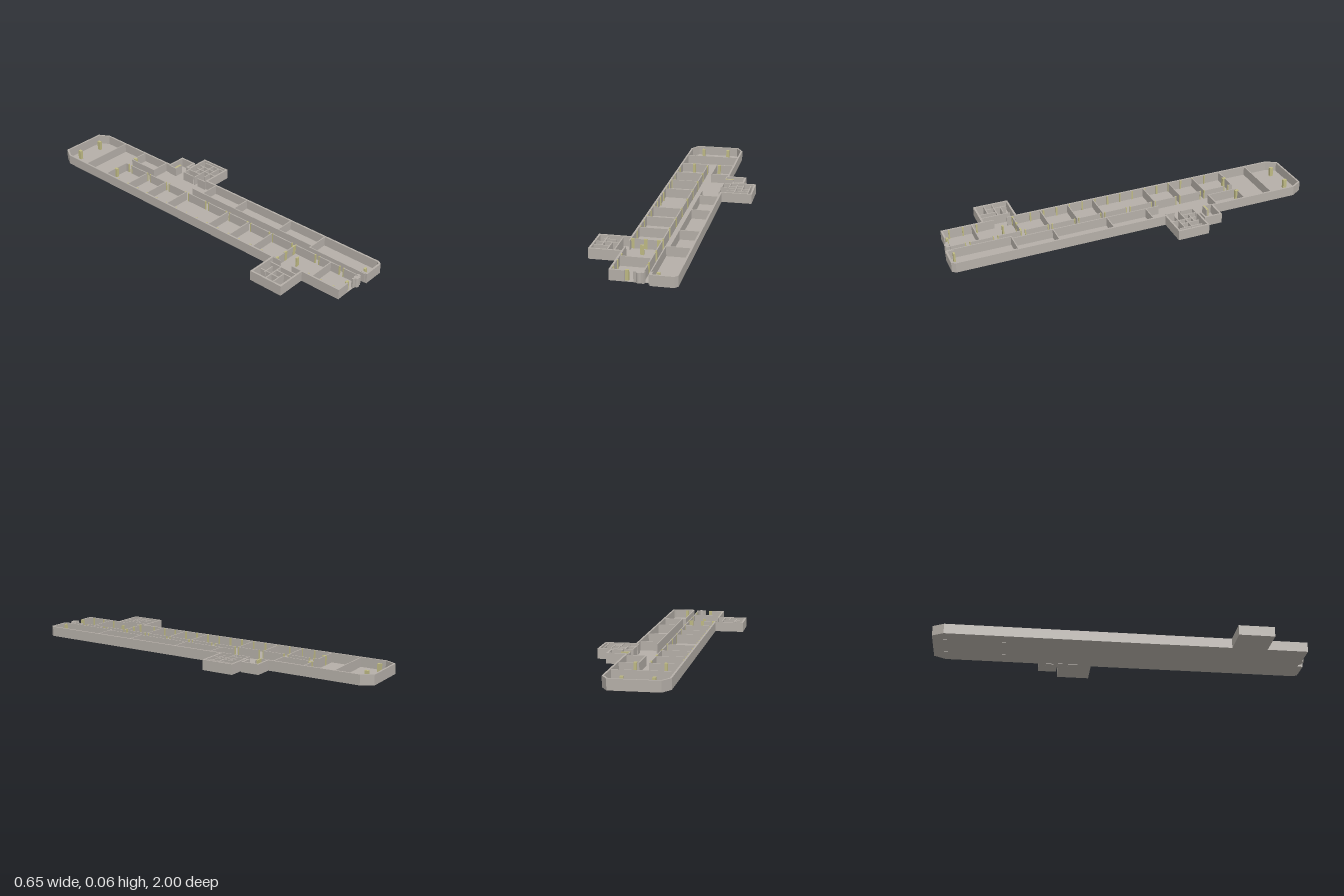
import * as THREE from 'three';

const FLOOR = 0.006, TOP = 0.057;

export function createModel() {
  const model = new THREE.Group();
  const wallMat = new THREE.MeshStandardMaterial({ color: 0xb5afa8 });
  wallMat.name = 'warm grey concrete';
  const columnMat = new THREE.MeshStandardMaterial({ color: 0xbfba84 });
  columnMat.name = 'pale olive';

  const add = (geo, mat, name, parent = model) => {
    const mesh = new THREE.Mesh(geo, mat);
    mesh.name = name;
    parent.add(mesh);
    return mesh;
  };
  const group = (name) => {
    const g = new THREE.Group();
    g.name = name;
    model.add(g);
    return g;
  };
  // Upright prism over a plan polygon of [x, z] points
  const prism = (pts, y0, y1) => {
    const shape = new THREE.Shape(pts.map(([x, z]) => new THREE.Vector2(x, -z)));
    const geo = new THREE.ExtrudeGeometry(shape, { depth: y1 - y0, bevelEnabled: false });
    return geo.rotateX(-Math.PI / 2).translate(0, y0, 0);
  };
  // Box given by its plan limits
  const block = (x0, x1, z0, z1, y0, y1, mat, name, parent) => {
    const geo = new THREE.BoxGeometry(x1 - x0, y1 - y0, z1 - z0);
    geo.translate((x0 + x1) / 2, (y0 + y1) / 2, (z0 + z1) / 2);
    return add(geo, mat, name, parent);
  };

  // Plan outline, clockwise from above
  const outline = [
    [-0.165, -0.94], [-0.13, -1], [0.12, -1], [0.155, -0.94],
    [0.155, -0.44], [0.255, -0.44], [0.255, -0.34], [0.2, -0.34], [0.2, -0.33],
    [0.325, -0.33], [0.325, -0.155], [0.16, -0.155],
    [0.16, 0.98], [0.145, 1], [0.03, 1], [0.03, 0.97], [0.005, 0.97],
    [0, 0.985], [-0.05, 0.975], [-0.09, 0.975], [-0.165, 0.975],
    [-0.165, 0.755], [-0.327, 0.755], [-0.327, 0.565], [-0.165, 0.565],
  ];
  add(prism(outline, 0.003, FLOOR), wallMat, 'floorSlab');

  // Outer walls with mitred corners; two segments are doorways
  const T = 0.01, n = outline.length;
  const normal = (i) => {
    const [a, b] = [outline[(i + n) % n], outline[(i + 1) % n]];
    const d = Math.hypot(b[0] - a[0], b[1] - a[1]);
    return [-(b[1] - a[1]) / d, (b[0] - a[0]) / d];
  };
  const inner = outline.map(([x, z], i) => {
    const p = normal(i - 1), q = normal(i);
    const k = T / (1 + p[0] * q[0] + p[1] * q[1]);
    return [x + (p[0] + q[0]) * k, z + (p[1] + q[1]) * k];
  });
  const outer = group('outerWalls');
  outline.forEach((p, i) => {
    if (i === 15 || i === 18) return;
    const j = (i + 1) % n;
    add(prism([p, outline[j], inner[j], inner[i]], FLOOR, TOP), wallMat, 'outerWall', outer);
  });

  // Interior partitions
  const rooms = group('partitions');
  const W = 0.003;
  const wallX = (z, x0, x1) => block(x0, x1, z - W, z + W, FLOOR, TOP - 0.001, wallMat, 'crossWall', rooms);
  const wallZ = (x, z0, z1) => block(x - W, x + W, z0, z1, FLOOR, TOP - 0.001, wallMat, 'longWall', rooms);

  // Left rooms
  const leftZ = [-0.635, -0.465, -0.32, -0.165, 0.135, 0.28, 0.435, 0.59, 0.81];
  leftZ.forEach((z) => wallX(z, -0.158, -0.002));
  // Corridor wall broken by doorways
  const doors = [];
  for (let z = -0.6; z < 0.95; z += 0.1475) doors.push(z);
  let from = -0.635;
  doors.forEach((z) => {
    wallZ(-0.004, from, z - 0.012);
    from = z + 0.012;
  });
  wallZ(-0.004, from, 0.97);

  // Right rooms
  wallX(-0.635, 0.045, 0.148);
  wallX(-0.465, 0.045, 0.148);
  wallZ(0.047, -0.635, -0.465);
  wallZ(0.047, -0.165, 0.655);
  wallZ(0.028, 0.655, 0.99);
  wallX(0.655, 0.025, 0.152);
  [-0.09, 0.135, 0.435].forEach((z) => wallX(z, 0.047, 0.152));
  // End hall
  wallX(-0.8, -0.158, 0.148);

  // Service rooms on the left
  wallZ(0.143, -0.435, -0.39);
  wallX(-0.385, 0.14, 0.19);
  wallX(-0.32, 0.14, 0.2);
  wallZ(0.143, -0.32, -0.25);
  wallZ(0.143, -0.215, -0.16);
  wallX(-0.24, 0.14, 0.305);
  wallZ(0.185, -0.32, -0.24);
  wallZ(0.225, -0.3, -0.165);
  wallZ(0.26, -0.3, -0.2);
  wallZ(0.3, -0.3, -0.17);
  wallX(-0.2, 0.18, 0.3);
  wallX(-0.275, 0.185, 0.26);

  // Service rooms on the right
  wallZ(-0.2, 0.59, 0.745);
  wallZ(-0.235, 0.655, 0.745);
  wallZ(-0.275, 0.59, 0.7);
  wallX(0.655, -0.315, -0.2);
  wallX(0.7, -0.315, -0.235);
  wallX(0.62, -0.285, -0.225);
  wallZ(-0.16, 0.57, 0.62);
  wallZ(-0.16, 0.69, 0.75);

  // Columns
  const columns = group('columns');
  const column = (x, z, w = 0.016, d = 0.02) =>
    block(x - w / 2, x + w / 2, z - d / 2, z + d / 2, FLOOR, TOP, columnMat, 'column', columns);
  [[-0.085, -0.935], [0.065, -0.935], [-0.085, -0.63], [0.065, -0.63]].forEach(([x, z]) => column(x, z));
  column(-0.0815, 0.962, 0.017, 0.012);
  column(-0.085, 0.665, 0.018, 0.008);
  column(0.065, 0.965, 0.016, 0.01);
  column(0.165, -0.39, 0.045, 0.01);
  [-0.15, -0.085, -0.02].forEach((x) => column(x, 0.59, 0.018, 0.009));
  doors.forEach((z) => {
    column(-0.004, z - 0.012, 0.008, 0.006);
    column(-0.004, z + 0.012, 0.008, 0.006);
  });
  for (let z = -0.54; z < 0.95; z += 0.0737) {
    if (z < 0.54 || z > 0.77) column(-0.153, z, 0.006, 0.008);
  }

  // Rounded entrance pier
  const pier = add(new THREE.CylinderGeometry(0.014, 0.014, TOP - FLOOR, 20), wallMat, 'entrancePier');
  pier.position.set(-0.022, (TOP + FLOOR) / 2, 0.977);

  // Footings under the slab
  const footings = group('footings');
  [[0.15, 0.18, -0.4, -0.36], [0.14, 0.18, -0.335, -0.31], [0.14, 0.18, -0.28, -0.23],
    [-0.09, -0.08, -0.945, -0.925], [0.06, 0.07, -0.945, -0.925],
    [-0.09, -0.08, -0.64, -0.62], [0.06, 0.07, -0.64, -0.62]].forEach(([x0, x1, z0, z1]) =>
    block(x0, x1, z0, z1, 0, 0.003, wallMat, 'footing', footings));

  return model;
}
